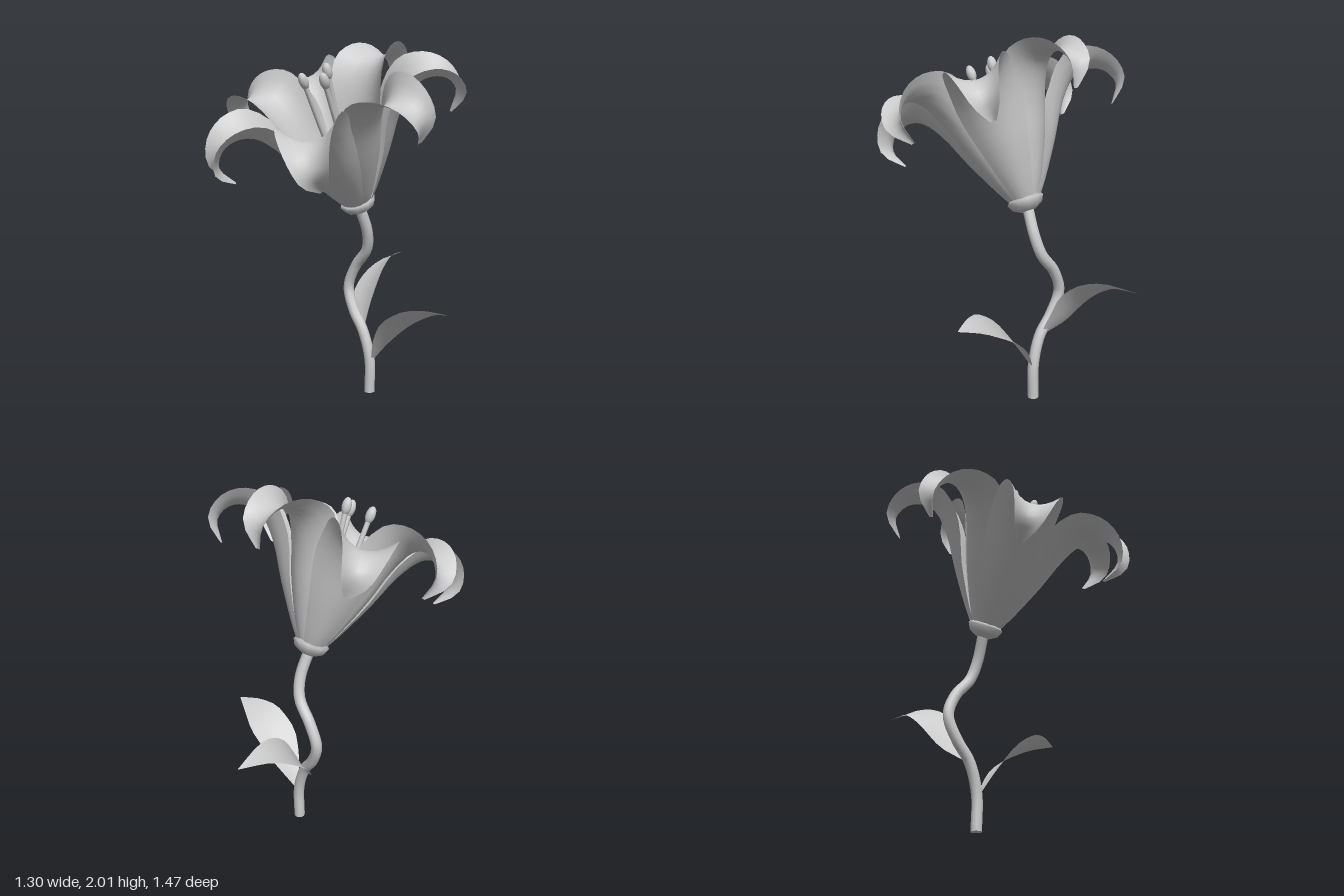
import * as THREE from 'three';

const grey = new THREE.MeshStandardMaterial({ color: 0xcccccc });
const greySheet = new THREE.MeshStandardMaterial({ color: 0xcccccc, side: THREE.DoubleSide });
const vec = (x, y, z) => new THREE.Vector3(x, y, z);
const curve = (pts) => new THREE.CatmullRomCurve3(pts.map((p) => vec(...p)));

function add(parent, name, geometry, material = grey) {
  const mesh = new THREE.Mesh(geometry, material);
  mesh.name = name;
  parent.add(mesh);
  return mesh;
}

// Cupped blade swept along a midrib. Stations: [x, y, z, halfWidth, cupDepth]
function blade(stations, side, rows, cols) {
  const midrib = curve(stations.map((s) => s.slice(0, 3)));
  const size = curve(stations.map((s) => [s[3], s[4], 0]));
  const pos = [], index = [];
  for (let i = 0; i <= rows; i++) {
    const t = i / rows;
    const p = midrib.getPoint(t), { x: w, y: d } = size.getPoint(t);
    const up = midrib.getTangent(t).cross(side).normalize();
    for (let j = 0; j <= cols; j++) {
      const u = (j / cols) * 2 - 1;
      const q = p.clone().addScaledVector(side, u * w).addScaledVector(up, d * u * u);
      pos.push(q.x, q.y, q.z);
      if (i < rows && j < cols) {
        const a = i * (cols + 1) + j, c = a + cols + 1;
        index.push(a, c, a + 1, a + 1, c, c + 1);
      }
    }
  }
  const g = new THREE.BufferGeometry();
  g.setAttribute('position', new THREE.Float32BufferAttribute(pos, 3));
  g.setIndex(index);
  g.computeVertexNormals();
  return g;
}

export function createModel() {
  const model = new THREE.Group();
  model.name = 'flower';

  // Winding stem with a closed foot
  const stemPath = curve([
    [0, 0, -0.18], [0, 0.2, -0.18], [-0.05, 0.36, -0.18], [-0.13, 0.47, -0.19],
    [-0.18, 0.6, -0.205], [-0.13, 0.73, -0.21], [-0.04, 0.84, -0.2],
    [-0.012, 0.95, -0.17], [-0.02, 1.1, -0.11],
  ]);
  add(model, 'stem', new THREE.TubeGeometry(stemPath, 40, 0.031, 10));
  const foot = add(model, 'stemFoot', new THREE.CircleGeometry(0.031, 10));
  foot.rotation.x = Math.PI / 2;
  foot.position.z = -0.18;

  // Leaves
  add(model, 'leftLeaf', blade([
    [0.02, 0.2, -0.18, 0.012, 0], [0.1, 0.32, -0.165, 0.075, 0.01],
    [0.2, 0.43, -0.16, 0.115, 0.015], [0.32, 0.51, -0.16, 0.11, 0.012],
    [0.43, 0.55, -0.16, 0.065, 0.008], [0.55, 0.565, -0.165, 0.002, 0],
  ], vec(0, -0.38, -0.92).normalize(), 12, 4), greySheet);
  add(model, 'backLeaf', blade([
    [-0.06, 0.37, -0.19, 0.012, 0], [-0.12, 0.46, -0.26, 0.075, 0.01],
    [-0.145, 0.575, -0.34, 0.105, 0.015], [-0.16, 0.66, -0.44, 0.095, 0.012],
    [-0.17, 0.71, -0.56, 0.06, 0.008], [-0.185, 0.72, -0.74, 0.002, 0],
  ], vec(-0.88, -0.46, 0).normalize(), 12, 4), greySheet);

  // Blossom head, tilted forward on the stem
  const head = new THREE.Group();
  head.name = 'blossom';
  head.position.set(-0.02, 1.12, -0.1);
  head.rotation.x = THREE.MathUtils.degToRad(27);
  model.add(head);

  // Flared collar under the petals
  const collar = [[0, -0.045], [0.04, -0.045], [0.085, -0.02], [0.103, 0.015], [0.09, 0.03], [0, 0.02]];
  add(head, 'collar', new THREE.LatheGeometry(collar.map((p) => new THREE.Vector2(...p)), 10));

  // Seven petals curling back at the tips: [degrees around the axis, outward lean]
  const petal = blade([
    [0, 0, 0.07, 0.045, 0.015], [0, 0.1, 0.13, 0.075, 0.028],
    [0, 0.306, 0.235, 0.13, 0.055], [0, 0.5, 0.325, 0.175, 0.095],
    [0, 0.615, 0.416, 0.175, 0.105], [0, 0.642, 0.505, 0.148, 0.085],
    [0, 0.615, 0.585, 0.112, 0.06], [0, 0.535, 0.63, 0.075, 0.04],
    [0, 0.425, 0.58, 0.015, 0.006],
  ], vec(1, 0, 0), 24, 8);
  const petals = [
    [180, 0], [133, 0.1], [-131, 0.1], [86, -0.02], [-87, -0.06], [32, 0], [-31, 0],
  ];
  for (const [angle, lean] of petals) {
    add(head, 'petal', petal, greySheet)
      .rotation.set(lean, THREE.MathUtils.degToRad(angle), 0, 'YXZ');
  }

  // Three stamens with oval anthers
  for (const [x, y, z] of [[-0.1, 1.79, 0.25], [-0.02, 1.84, 0.155], [0.045, 1.79, 0.25]]) {
    const path = curve([
      [-0.022 + (x + 0.022) * 0.4, 1.13, -0.09],
      [-0.022 + (x + 0.022) * 0.75, 1.46, z * 0.6 - 0.06],
      [x, y, z],
    ]);
    add(model, 'filament', new THREE.TubeGeometry(path, 10, 0.014, 8));
    const anther = add(model, 'anther', new THREE.SphereGeometry(0.026, 10, 8));
    anther.scale.y = 1.8;
    anther.position.set(x, y, z);
    anther.quaternion.setFromUnitVectors(vec(0, 1, 0), path.getTangent(1));
  }
  return model;
}
